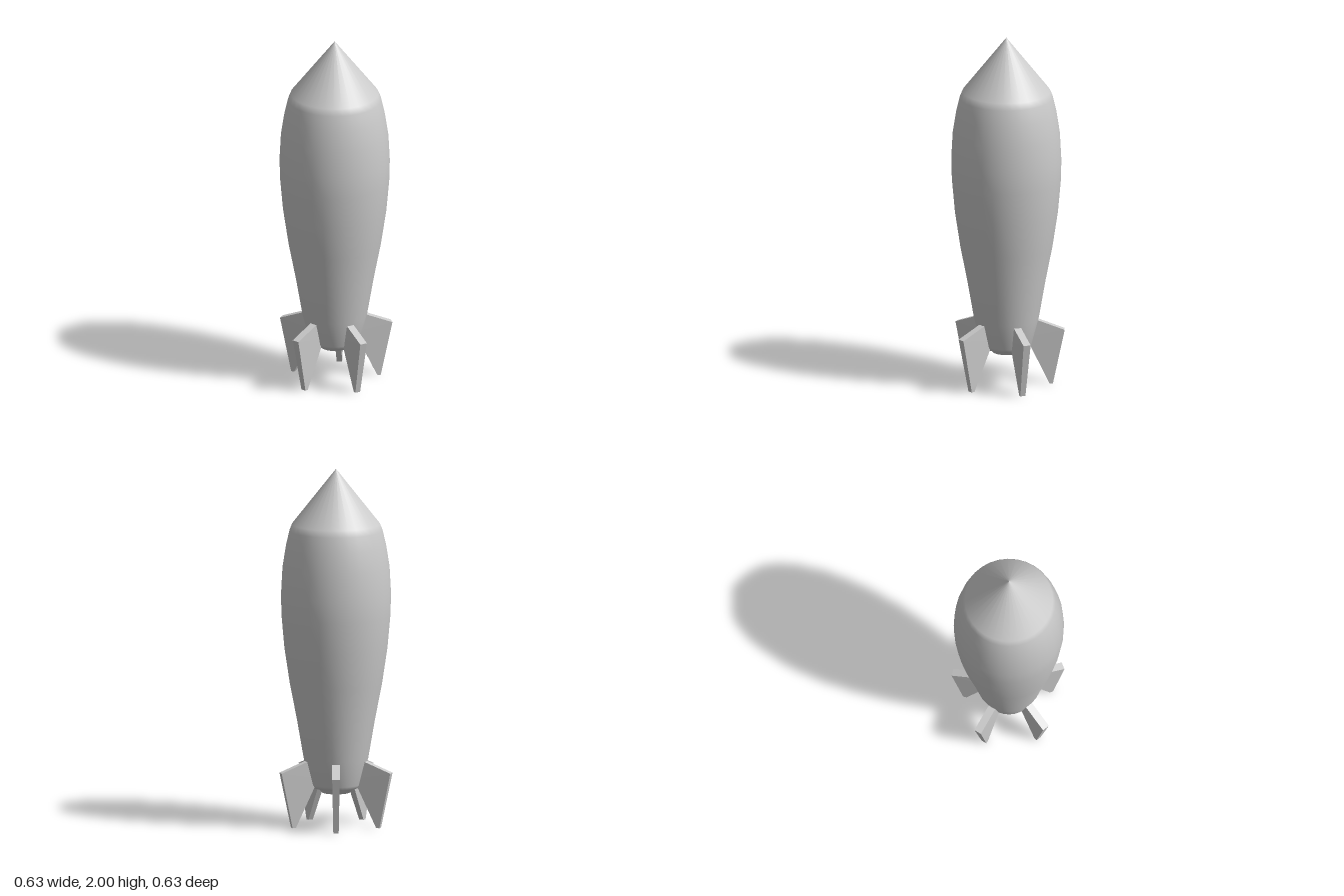
import * as THREE from 'three';

const AXIS_X = 0.007; // five fins are not symmetric in x, so the axis sits off centre
const SIDES = 32;

function lathe(name, points, material) {
  const profile = points.map(([r, y]) => new THREE.Vector2(r, y));
  const mesh = new THREE.Mesh(new THREE.LatheGeometry(profile, SIDES), material);
  mesh.name = name;
  return mesh;
}

// Swept fin, thick along its top edge and thinner at the foot
function finGeometry() {
  const shape = new THREE.Shape([
    [0.322, 0.31], [0.13, 0.385], [0.1, 0.27], [0.135, 0.215], [0.238, 0], [0.257, 0],
  ].reverse().map(([x, y]) => new THREE.Vector2(x, y)));
  const geometry = new THREE.ExtrudeGeometry(shape, { depth: 1, bevelEnabled: false });
  geometry.translate(0, 0, -0.5);
  const p = geometry.attributes.position;
  for (let i = 0; i < p.count; i++) {
    const t = Math.min(p.getY(i) / 0.31, 1);
    p.setZ(i, p.getZ(i) * (0.03 + 0.012 * t));
  }
  geometry.computeVertexNormals();
  return geometry;
}

export function createModel() {
  const model = new THREE.Group();
  model.name = 'rocket';
  const grey = new THREE.MeshStandardMaterial({ color: 0xcccccc });
  const greyOpen = new THREE.MeshStandardMaterial({ color: 0xcccccc, side: THREE.DoubleSide });

  // Hull and nose in one smooth profile
  const hull = lathe('hull', [
    [0.1, 0.212], [0.125, 0.215], [0.141, 0.235], [0.18, 0.385], [0.217, 0.6],
    [0.256, 0.8], [0.286, 1.0], [0.302, 1.18], [0.305, 1.3], [0.297, 1.45],
    [0.278, 1.57], [0.258, 1.655], [0.243, 1.692], [0, 2],
  ], greyOpen);

  // Exhaust nozzle with a recessed throat
  const nozzle = lathe('nozzle', [
    [0.05, 0.27], [0.07, 0.187], [0.078, 0.187], [0.105, 0.215],
  ], greyOpen);
  const throat = new THREE.Mesh(new THREE.CircleGeometry(0.05, SIDES), greyOpen);
  throat.name = 'throatCap';
  throat.rotation.x = Math.PI / 2;
  throat.position.y = 0.27;

  // Five fins around the tail
  const fins = new THREE.Group();
  fins.name = 'fins';
  const geometry = finGeometry();
  for (let i = 0; i < 5; i++) {
    const fin = new THREE.Mesh(geometry, grey);
    fin.name = `fin${i + 1}`;
    fin.rotation.y = Math.PI + (i * Math.PI * 2) / 5;
    fins.add(fin);
  }

  model.add(hull, nozzle, throat, fins);
  for (const part of model.children) part.position.x = AXIS_X;
  return model;
}
